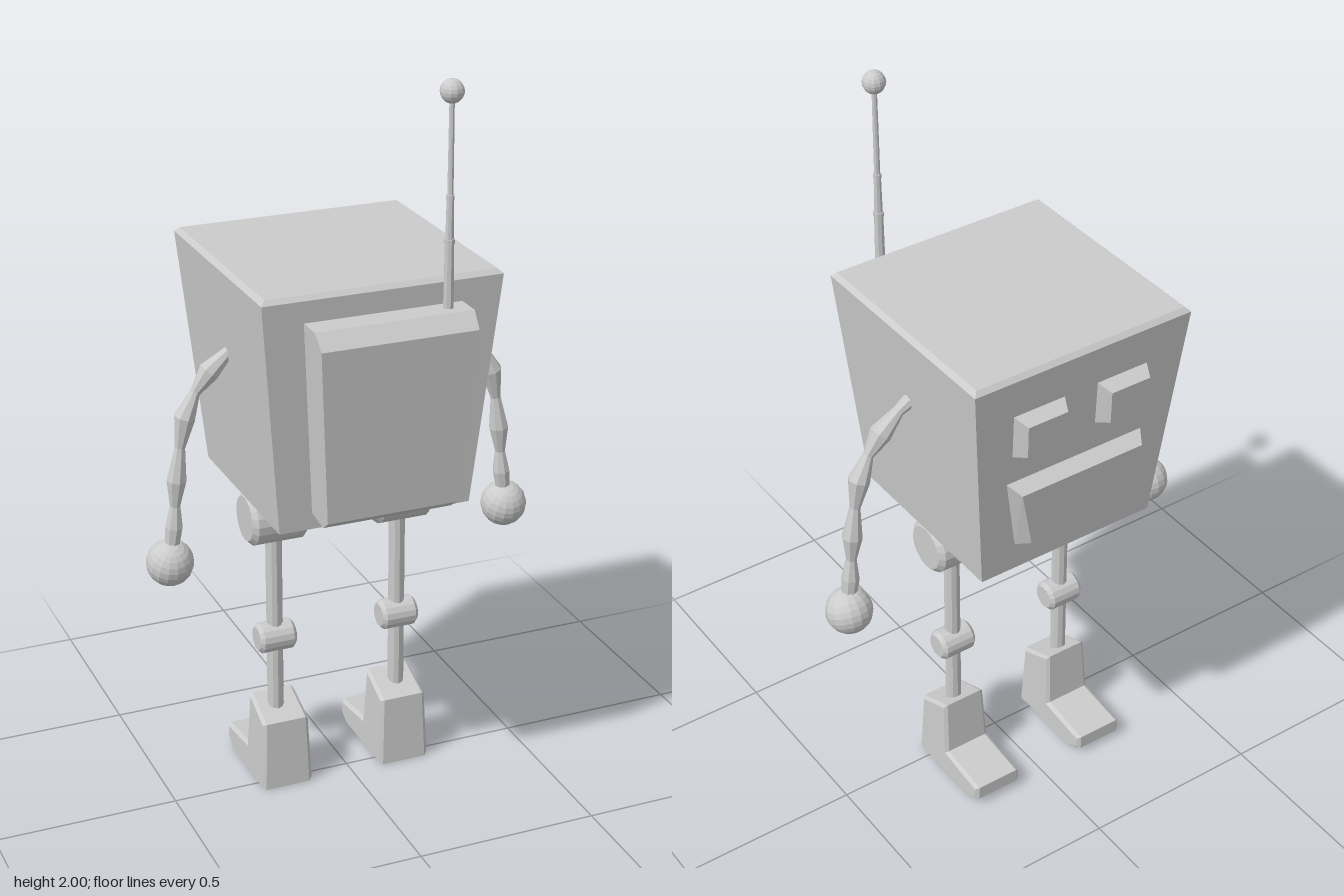
import * as THREE from 'three';
import { ConvexGeometry } from 'three/addons/geometries/ConvexGeometry.js';

const CX = -0.018; // middle of the body
const Z = -0.03; // limbs line up on this depth
const material = new THREE.MeshStandardMaterial({ color: 0xcccccc, flatShading: true });
const v = (x, y, z) => new THREE.Vector3(x, y, z);

function mesh(name, geometry, x = 0, y = 0, z = 0) {
  const m = new THREE.Mesh(geometry, material);
  m.name = name;
  m.position.set(x, y, z);
  return m;
}

// Level rectangle, used as one cross-section of the body
const level = (y, hw, zBack, zFront) => [
  v(CX - hw, y, zBack), v(CX + hw, y, zBack), v(CX + hw, y, zFront), v(CX - hw, y, zFront),
];

// Drum along x with bevelled rims
function drum(radius, half, bevel, sides) {
  const profile = [
    [0, -half], [radius - bevel, -half], [radius, -half + bevel], [radius, -half / 3],
    [radius, half / 3], [radius, half - bevel], [radius - bevel, half], [0, half],
  ].map(([r, y]) => new THREE.Vector2(r, y));
  return new THREE.LatheGeometry(profile, sides).rotateZ(Math.PI / 2);
}

// Depth of the sloping face at height y
const faceZ = (y) => -0.295 - ((y - 0.86) / 0.64) * 0.06;

// Raised, bevelled plate on the face; widths may differ at top and bottom
function facePlate(x, y0, y1, halfBottom, halfTop, bevel, depth) {
  const pts = [];
  for (const [b, d] of [[0, -0.02], [0, 0], [bevel, depth]]) {
    for (const s of [-1, 1]) {
      pts.push(v(x + s * (halfBottom - b), y0 + b, faceZ(y0 + b) - d));
      pts.push(v(x + s * (halfTop - b), y1 - b, faceZ(y1 - b) - d));
    }
  }
  return new ConvexGeometry(pts);
}

// Jointed arm: rings of alternating thickness swept along points [x, y, radius]
function armGeometry(side) {
  const stations = [
    [0.27, 1.285, 0.02], [0.31, 1.262, 0.015], [0.365, 1.215, 0.029], [0.402, 1.165, 0.014],
    [0.432, 1.10, 0.029], [0.447, 1.02, 0.014], [0.459, 0.93, 0.027], [0.465, 0.86, 0.014],
    [0.47, 0.80, 0.024], [0.48, 0.72, 0.018],
  ];
  const sides = 8, pos = [], index = [];
  stations.forEach(([x, y, r], i) => {
    const a = stations[Math.max(i - 1, 0)], b = stations[Math.min(i + 1, stations.length - 1)];
    const len = Math.hypot(b[0] - a[0], b[1] - a[1]);
    const nx = -(b[1] - a[1]) / len, ny = (b[0] - a[0]) / len;
    for (let j = 0; j < sides; j++) {
      const t = (j / sides) * Math.PI * 2, c = Math.cos(t) * r;
      pos.push(side * (x + nx * c), y + ny * c, Z + side * Math.sin(t) * r);
      if (i === 0) continue;
      const k = (j + 1) % sides, p = (i - 1) * sides, q = i * sides;
      index.push(p + j, p + k, q + j, p + k, q + k, q + j);
    }
  });
  const g = new THREE.BufferGeometry();
  g.setAttribute('position', new THREE.Float32BufferAttribute(pos, 3));
  g.setIndex(index);
  g.computeVertexNormals();
  return g;
}

// Boot: side outline extruded across x, narrowing towards the ankle
function footGeometry() {
  const outline = [
    [0.04, 0.01], [0.032, 0.2], [-0.072, 0.242], [-0.084, 0.082],
    [-0.235, 0.064], [-0.235, 0.03], [-0.2, 0.01],
  ].map(([z, y]) => new THREE.Vector2(-z, y));
  const g = new THREE.ExtrudeGeometry(new THREE.Shape(outline), {
    depth: 0.126, bevelEnabled: true, bevelThickness: 0.01, bevelSize: 0.008,
    bevelOffset: -0.004, bevelSegments: 1,
  });
  g.translate(0, 0, -0.063).rotateY(Math.PI / 2);
  const p = g.attributes.position;
  for (let i = 0; i < p.count; i++) {
    p.setX(i, p.getX(i) * (1 - 0.55 * Math.max(p.getY(i), 0)));
    p.setY(i, Math.max(p.getY(i) - 0.004, 0));
  }
  g.computeVertexNormals();
  return g;
}

export function createModel() {
  const model = new THREE.Group();
  model.name = 'robot';

  // Tapered box body with a thin bevel round the lid
  model.add(mesh('body', new ConvexGeometry([
    ...level(0.86, 0.262, -0.295, 0.235),
    ...level(1.488, 0.32, -0.355, 0.285),
    ...level(1.5, 0.308, -0.343, 0.273),
  ])));

  // Backpack: side profile [y, z], narrowing downwards, chamfered top and bottom
  const pack = [];
  for (const [y, z] of [[1.43, 0.26], [1.43, 0.35], [1.39, 0.386], [0.92, 0.345], [0.895, 0.31], [0.91, 0.22]]) {
    const half = 0.175 + ((y - 0.9) / 0.53) * 0.035;
    pack.push(v(CX - half, y, z), v(CX + half, y, z));
  }
  model.add(mesh('backpack', new ConvexGeometry(pack)));

  // Face
  for (const s of [-1, 1]) {
    model.add(mesh(s > 0 ? 'leftEye' : 'rightEye',
      facePlate(-0.015 + s * 0.124, 1.25, 1.38, 0.07, 0.075, 0.017, 0.04)));
  }
  model.add(mesh('mouth', facePlate(-0.015, 0.945, 1.165, 0.165, 0.205, 0.022, 0.04)));

  // Telescopic antenna
  const antenna = new THREE.Group();
  antenna.name = 'antenna';
  for (const [y0, y1, r] of [[1.4, 1.6, 0.014], [1.6, 1.71, 0.011], [1.71, 1.95, 0.008]]) {
    antenna.add(mesh('antennaRod', new THREE.CylinderGeometry(r * 0.85, r, y1 - y0, 8), 0.14, (y0 + y1) / 2, 0.31));
    antenna.add(mesh('antennaCollar', new THREE.CylinderGeometry(r, r, 0.012, 8), 0.14, y1, 0.31));
  }
  antenna.add(mesh('antennaBall', new THREE.SphereGeometry(0.03, 12, 10), 0.14, 1.97, 0.31));
  model.add(antenna);

  for (const s of [-1, 1]) {
    const side = s > 0 ? 'left' : 'right';

    // Arm and ball hand
    const arm = new THREE.Group();
    arm.name = side + 'Arm';
    arm.add(mesh('armSegments', armGeometry(s)));
    const hand = mesh('hand', new THREE.SphereGeometry(0.063, 16, 12), s * 0.482, 0.7, Z - 0.005);
    hand.rotation.x = 0.4;
    arm.add(hand);
    model.add(arm);

    // Leg: hip drum, shaft, knee drum and boot
    const leg = new THREE.Group();
    leg.name = side + 'Leg';
    leg.position.x = CX + s * 0.178;
    leg.add(mesh('hip', drum(0.075, 0.08, 0.014, 20), 0, 0.79, Z));
    leg.add(mesh('shaft', new THREE.CylinderGeometry(0.022, 0.022, 0.56, 10), 0, 0.48, Z));
    leg.add(mesh('knee', drum(0.042, 0.052, 0.01, 16), 0, 0.43, Z));
    const foot = mesh('foot', footGeometry());
    foot.position.x = s * -0.005;
    leg.add(foot);
    model.add(leg);
  }
  return model;
}
